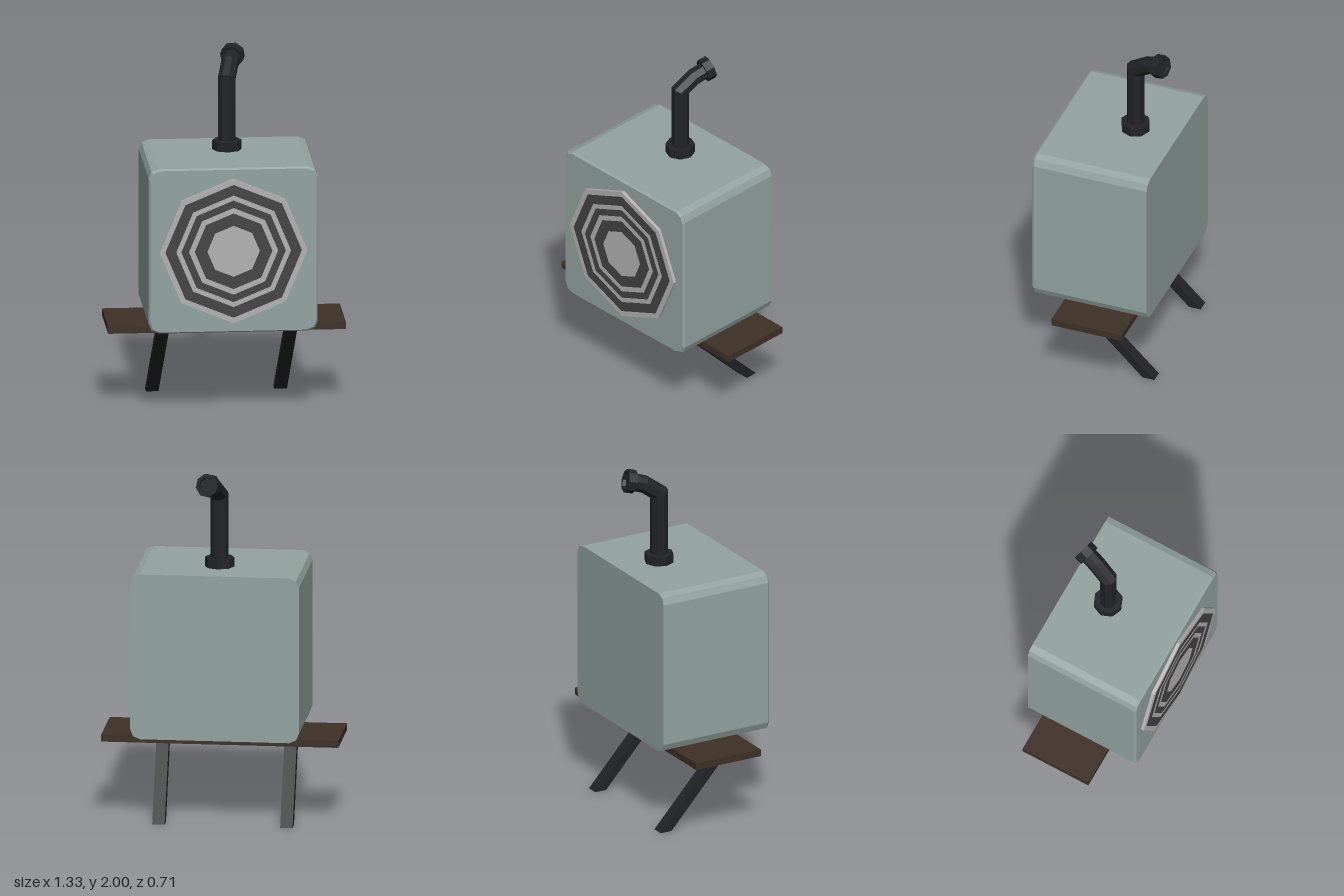
import * as THREE from 'three';

const material = (color) => new THREE.MeshStandardMaterial({ color, flatShading: true, side: THREE.DoubleSide });
const V = (x, y, z) => new THREE.Vector3(x, y, z);

// Octagon outline with a corner pointing up
function octagon(r) {
  const pts = [];
  for (let i = 0; i < 8; i++) {
    const a = (i * Math.PI) / 4;
    pts.push(new THREE.Vector2(r * Math.cos(a), r * Math.sin(a)));
  }
  return pts;
}

// Square outline with faceted round corners
function roundedSquare(half, r) {
  const pts = [];
  for (let c = 0; c < 4; c++) {
    const mid = (c + 0.5) * Math.PI / 2;
    const cx = Math.sign(Math.cos(mid)) * (half - r);
    const cy = Math.sign(Math.sin(mid)) * (half - r);
    for (let k = 0; k <= 2; k++) {
      const a = (c + k / 2) * Math.PI / 2;
      pts.push(new THREE.Vector2(cx + r * Math.cos(a), cy + r * Math.sin(a)));
    }
  }
  return new THREE.Shape(pts);
}

// Straight-sided tube with mitred joints along a path lying in one vertical plane
function mitredTube(path, radius, sides, across) {
  const pos = [], index = [];
  path.forEach((p, i) => {
    const inDir = p.clone().sub(path[Math.max(i - 1, 0)]).normalize();
    const outDir = path[Math.min(i + 1, path.length - 1)].clone().sub(p).normalize();
    const tangent = inDir.clone().add(outDir).normalize();
    const up = across.clone().cross(tangent);
    const stretch = 1 / Math.max(tangent.dot(i ? inDir : outDir), 0.5);
    for (let s = 0; s < sides; s++) {
      const a = ((s + 0.5) / sides) * Math.PI * 2;
      const v = p.clone().addScaledVector(across, radius * Math.cos(a))
        .addScaledVector(up, radius * stretch * Math.sin(a));
      pos.push(v.x, v.y, v.z);
      if (i) {
        const n = (s + 1) % sides, b = (i - 1) * sides, t = i * sides;
        index.push(b + s, b + n, t + s, b + n, t + n, t + s);
      }
    }
  });
  const geo = new THREE.BufferGeometry();
  geo.setAttribute('position', new THREE.Float32BufferAttribute(pos, 3));
  geo.setIndex(index);
  geo.computeVertexNormals();
  return geo;
}

export function createModel() {
  const model = new THREE.Group();
  model.name = 'shelfHeater';
  const bodyMat = material(0x93a4a1), lightMat = material(0xb4b2b2), darkMat = material(0x444444);
  const woodMat = material(0x3f3127), ironMat = material(0x222327);
  const add = (name, geo, mat, x = 0, y = 0, z = 0, parent = model) => {
    const mesh = new THREE.Mesh(geo, mat);
    mesh.name = name;
    mesh.position.set(x, y, z);
    parent.add(mesh);
    return mesh;
  };

  // Casing: the front layer is pulled in for a thin bevel
  const depth = 0.69, bevel = 0.012;
  const casing = new THREE.ExtrudeGeometry(roundedSquare(0.474, 0.055), { depth, steps: 2, bevelEnabled: false });
  const p = casing.attributes.position;
  for (let i = 0; i < p.count; i++) {
    const z = p.getZ(i);
    if (z > depth * 0.9) p.setXY(i, p.getX(i) * 0.982, p.getY(i) * 0.982);
    else if (z > depth * 0.1) p.setZ(i, depth - bevel);
  }
  casing.computeVertexNormals();
  add('casing', casing, bodyMat, 0.02, 0.962, -0.355);

  // Grille: alternating light and dark octagonal rings around a centre plate
  const grille = new THREE.Group();
  grille.name = 'grille';
  grille.position.set(0.02, 0.962, 0.334);
  model.add(grille);
  const radii = [0.415, 0.383, 0.322, 0.293, 0.25, 0.218, 0.147];
  radii.forEach((r, i) => {
    const shape = new THREE.Shape(octagon(r));
    if (i < radii.length - 1) shape.holes.push(new THREE.Path(octagon(radii[i + 1])));
    add(i === radii.length - 1 ? 'grilleCentre' : 'grilleRing' + (i + 1),
      new THREE.ExtrudeGeometry(shape, { depth: 0.02, bevelEnabled: false }),
      i % 2 ? darkMat : lightMat, 0, 0, 0, grille);
  });

  // Shelf
  add('shelf', new THREE.BoxGeometry(1.334, 0.04, 0.42), woodMat, 0, 0.468, -0.06);

  // Slanted braces, sheared so both ends stay level
  [['rightBrace', -0.362], ['leftBrace', 0.358]].forEach(([name, x]) => {
    const geo = new THREE.BoxGeometry(0.07, 0.448, 0.07);
    const q = geo.attributes.position;
    for (let i = 0; i < q.count; i++) {
      const top = q.getY(i) > 0;
      q.setX(i, q.getX(i) + (top ? 0 : -0.022));
      q.setZ(i, q.getZ(i) + (top ? 0.113 : -0.318));
    }
    geo.computeVertexNormals();
    add(name, geo, ironMat, x, 0.224, 0);
  });

  // Chimney: flange, bent pipe and end collar
  const base = V(0.02, 1.435, -0.105);
  const out = V(0.26, 0, -0.966);
  const at = (d, y) => base.clone().addScaledVector(out, d).setY(y);
  add('chimneyFlange', new THREE.CylinderGeometry(0.083, 0.083, 0.055, 8), ironMat, base.x, 1.461, base.z);
  const across = V(0, 1, 0).cross(out).normalize();
  add('chimneyPipe', mitredTube([at(0, 1.435), at(0, 1.848), at(0.088, 1.91), at(0.17, 1.936)], 0.05, 8, across), ironMat);
  const profile = [[0, -0.025], [0.067, -0.025], [0.067, 0.025], [0.048, 0.025], [0.044, 0.008], [0, 0.008]]
    .map(([r, y]) => new THREE.Vector2(r, y));
  const collarPos = at(0.17, 1.936);
  const collar = add('chimneyCollar', new THREE.LatheGeometry(profile, 8), ironMat, collarPos.x, collarPos.y, collarPos.z);
  collar.quaternion.setFromUnitVectors(V(0, 1, 0), out.clone().multiplyScalar(0.97).setY(0.25).normalize());

  return model;
}
